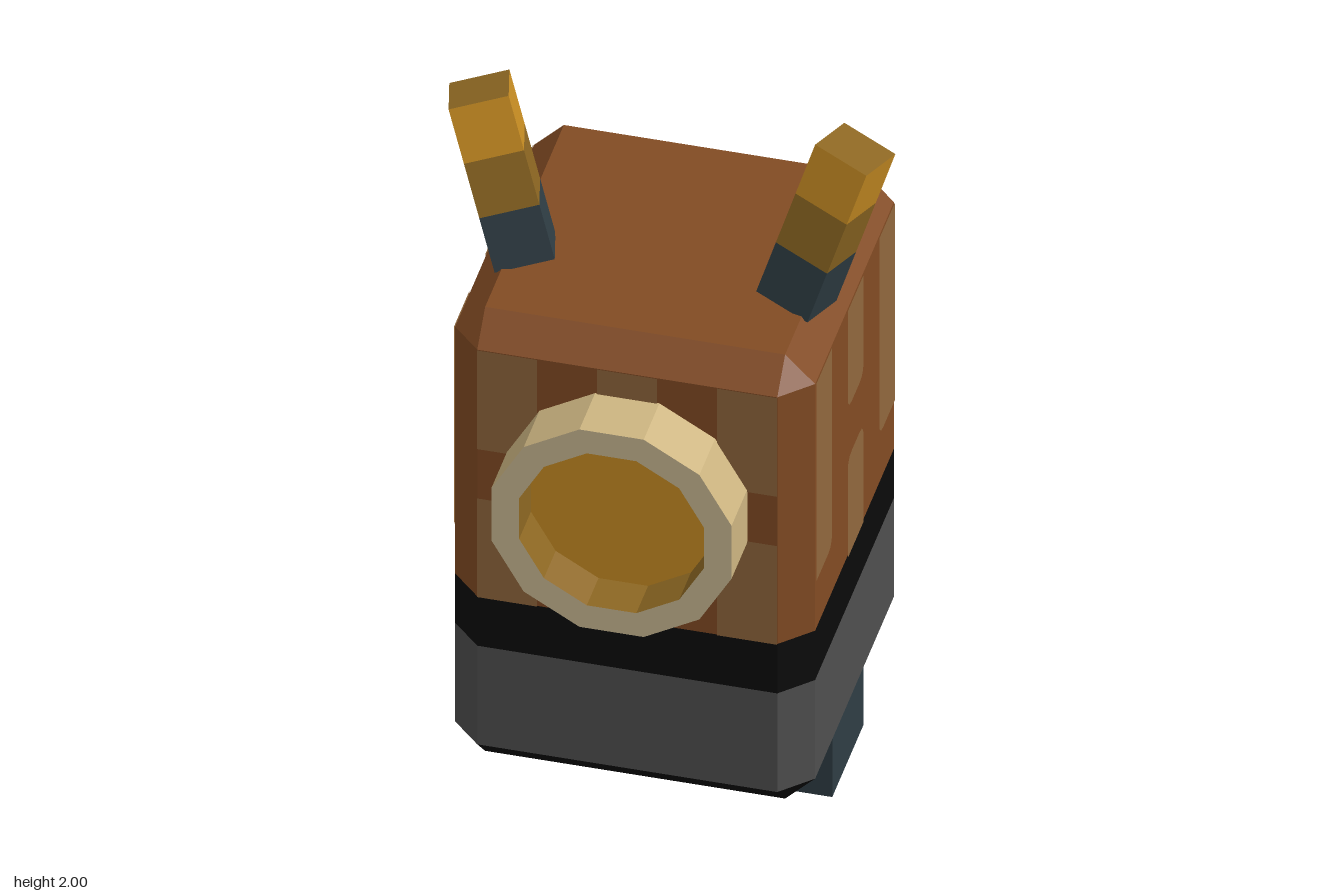
import * as THREE from 'three';

const U = 1 / 13; // grid unit: the model is 26 units tall

const mat = (name, color) => {
  const m = new THREE.MeshStandardMaterial({ color, flatShading: true, side: THREE.DoubleSide });
  m.name = name;
  return m;
};

// Octagon (square with cut corners) at height y
const octagon = (y, half, inset) =>
  [[half, inset], [inset, half], [-inset, half], [-half, inset],
    [-half, -inset], [-inset, -half], [inset, -half], [half, -inset]]
    .map(([x, z]) => [x * U, y * U, (z - 1) * U]);

// Skin a stack of octagons, optionally closing the bottom or top
function loft(loops, capBottom, capTop) {
  const pos = [];
  const tri = (a, b, c) => pos.push(...a, ...b, ...c);
  for (let l = 0; l + 1 < loops.length; l++) {
    for (let i = 0; i < 8; i++) {
      const j = (i + 1) % 8, lo = loops[l], hi = loops[l + 1];
      tri(lo[i], hi[i], hi[j]);
      tri(lo[i], hi[j], lo[j]);
    }
  }
  const top = loops[loops.length - 1], bottom = loops[0];
  for (let i = 1; i < 7; i++) {
    if (capBottom) tri(bottom[0], bottom[i], bottom[i + 1]);
    if (capTop) tri(top[0], top[i + 1], top[i]);
  }
  const g = new THREE.BufferGeometry();
  g.setAttribute('position', new THREE.Float32BufferAttribute(pos, 3));
  g.computeVertexNormals();
  return g;
}

// Rectangle with a chosen radius on each corner: bottom left, bottom right, top right, top left
function plate(x0, y0, x1, y1, [bl, br, tr, tl]) {
  const s = new THREE.Shape();
  s.moveTo(x0 + bl, y0);
  s.lineTo(x1 - br, y0);
  s.quadraticCurveTo(x1, y0, x1, y0 + br);
  s.lineTo(x1, y1 - tr);
  s.quadraticCurveTo(x1, y1, x1 - tr, y1);
  s.lineTo(x0 + tl, y1);
  s.quadraticCurveTo(x0, y1, x0, y1 - tl);
  s.lineTo(x0, y0 + bl);
  s.quadraticCurveTo(x0, y0, x0 + bl, y0);
  return new THREE.ShapeGeometry(s, 3).scale(U, U, 1);
}

export function createModel() {
  const model = new THREE.Group();
  model.name = 'model';

  const brown = mat('brown shell', 0x824b23);
  const lightBrown = mat('light brown stripe', 0x90673d);
  const black = mat('black trim', 0x0b0b0b);
  const gray = mat('gray band', 0x4f4f4f);
  const slate = mat('slate', 0x2f3d44);
  const gold = mat('gold', 0xca8e23);
  const darkGold = mat('dark gold', 0x8d6722);
  const cream = mat('cream rim', 0xcbba94);
  const tan = mat('tan rim side', 0xcdb581);

  const add = (name, geometry, material, parent = model) => {
    const m = new THREE.Mesh(geometry, material);
    m.name = name;
    parent.add(m);
    return m;
  };

  // Body: bevelled block in stacked colour bands
  add('bodyBase', loft([octagon(2, 5, 5), octagon(3, 6, 5)], true, false), black);
  add('lowerBand', loft([octagon(3, 6, 5), octagon(7, 6, 5)]), gray);
  add('trimBand', loft([octagon(7, 6, 5), octagon(9, 6, 5)]), black);
  add('upperShell', loft([octagon(9, 6, 5), octagon(19, 6, 5), octagon(20, 5, 5)], false, true), brown);

  // Stripes: front and back have split outer stripes, the sides a split middle one
  const r = 0.5;
  ['front', 'left', 'back', 'right'].forEach((side, k) => {
    const face = new THREE.Group();
    face.name = side + 'Stripes';
    face.position.z = -U;
    face.rotation.y = k * Math.PI / 2;
    model.add(face);
    [-1, 0, 1].forEach((col) => {
      const x0 = col * 4 - 1, x1 = x0 + 2;
      const rl = col === -1 ? 0 : r, rr = col === 1 ? 0 : r;
      const split = (k % 2 === 0) === (col !== 0);
      const parts = split
        ? [plate(x0, 15, x1, 19, [rl, rr, 0, 0]), plate(x0, 9, x1, 13, [0, 0, rr, rl])]
        : [plate(x0, 11, x1, 19, [rl, rr, 0, 0])];
      parts.forEach((g) => {
        add('stripe', g, lightBrown, face).position.z = 6 * U + 0.003;
      });
    });
  });

  // Round twelve-sided eye with a recessed lens
  const eye = new THREE.Group();
  eye.name = 'eye';
  eye.position.set(0, 14 * U, 5 * U);
  model.add(eye);
  const turn = Math.PI / 12, k = 1 / Math.cos(turn);
  const outer = 4 * U * k, inner = 3.08 * U * k;
  const tube = (radius, z0, z1) =>
    new THREE.CylinderGeometry(radius, radius, z1 - z0, 12, 1, true, turn)
      .rotateX(Math.PI / 2).translate(0, 0, (z0 + z1) / 2);
  add('eyeRimSide', tube(outer, 0, 2 * U), tan, eye);
  add('eyeRimFront', new THREE.RingGeometry(inner, outer, 12, 1, turn).translate(0, 0, 2 * U), cream, eye);
  add('eyeSocket', tube(inner, 0.5 * U, 2 * U), darkGold, eye);
  add('eyeLens', new THREE.CircleGeometry(inner, 12, turn).translate(0, 0, 0.5 * U), gold, eye);

  [1, -1].forEach((s) => {
    const side = s > 0 ? 'left' : 'right';

    // Legs
    add(side + 'Leg', new THREE.BoxGeometry(4 * U, 3 * U, 4 * U), slate)
      .position.set(s * 0.291, 1.5 * U, -U);

    // Antennae: tilted square rods in three colour segments
    const up = new THREE.Vector3(s * 0.292, 0.947, -0.137).normalize();
    const across = new THREE.Vector3(0.145, s * -0.04, s * 0.045);
    across.addScaledVector(up, -across.dot(up)).normalize();
    const depth = new THREE.Vector3().crossVectors(across, up);
    const antenna = new THREE.Group();
    antenna.name = side + 'Antenna';
    antenna.setRotationFromMatrix(new THREE.Matrix4().makeBasis(across, up, depth));
    antenna.position.set(s * 0.4825, 1.967, -0.005).addScaledVector(up, -6 * U);
    model.add(antenna);
    const segment = (name, i, m) => {
      add(name, new THREE.BoxGeometry(2 * U, 2 * U, 2 * U), m, antenna).position.y = (i * 2 + 1) * U;
    };
    segment('antennaBase', 0, slate);
    segment('antennaMiddle', 1, darkGold);
    // Box sides: +x, -x, top, bottom, +z, -z
    segment('antennaTip', 2, [gold, gold, darkGold, gold, gold, gold]);
  });

  return model;
}
